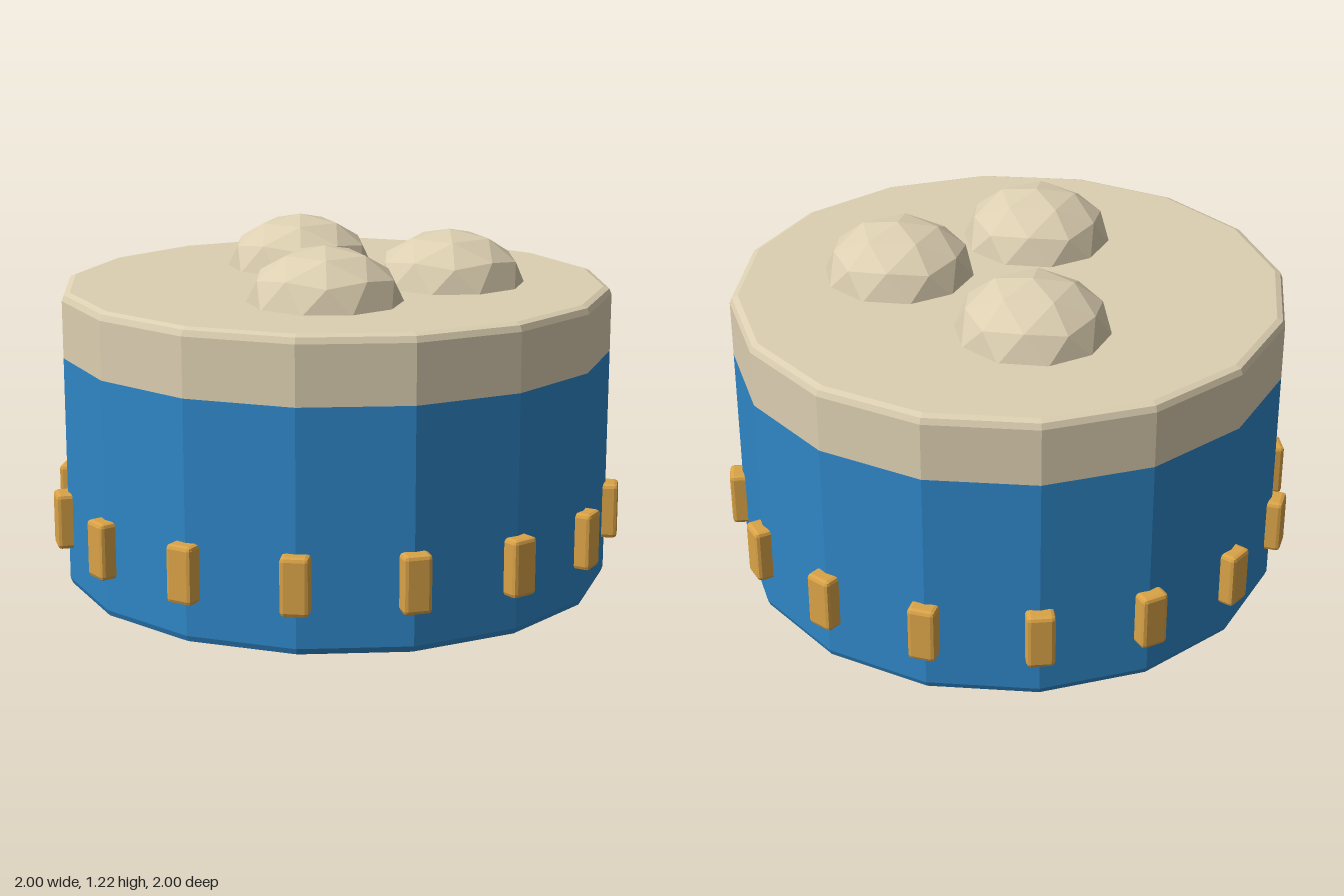
import * as THREE from 'three';
import { RoundedBoxGeometry } from 'three/addons/geometries/RoundedBoxGeometry.js';

const material = (name, color) => {
  const m = new THREE.MeshStandardMaterial({ color });
  m.name = name;
  return m;
};

// Facet a geometry so every face has its own normal
const faceted = (geometry) => {
  const g = geometry.index ? geometry.toNonIndexed() : geometry;
  g.computeVertexNormals();
  return g;
};

export function createModel() {
  const blue = material('blue', 0x2f86c6);
  const cream = material('cream', 0xdccfb1);
  const gold = material('gold', 0xdaa347);

  const SIDES = 16, R = 0.955, TOP = 1.035, SPLIT = 0.81;
  const group = new THREE.Group();
  group.name = 'studdedDrum';

  const add = (name, geometry, mat, x = 0, y = 0, z = 0) => {
    const mesh = new THREE.Mesh(geometry, mat);
    mesh.name = name;
    mesh.position.set(x, y, z);
    group.add(mesh);
    return mesh;
  };
  const turned = (profile) =>
    faceted(new THREE.LatheGeometry(profile.map(([r, y]) => new THREE.Vector2(r, y)), SIDES));

  // Sixteen-sided body with softened rims, in two colours
  add('drumBody', turned([[0, 0], [R - 0.028, 0], [R - 0.008, 0.008], [R, 0.028], [R, SPLIT]]), blue);
  add('drumCap', turned([[R, SPLIT], [R, TOP - 0.028], [R - 0.008, TOP - 0.008], [R - 0.028, TOP], [0, TOP]]), cream);

  // Ring of studs, one on each corner of the body
  const studGeometry = faceted(new RoundedBoxGeometry(0.095, 0.195, 0.1, 1, 0.014));
  for (let i = 0; i < SIDES; i++) {
    const a = (i / SIDES) * Math.PI * 2;
    const stud = add('stud', studGeometry, gold, Math.sin(a) * 0.95, 0.243, Math.cos(a) * 0.95);
    stud.rotation.y = a;
  }

  // Flattened faceted mounds sunk into the top, with a corner pointing up
  const mound = new THREE.IcosahedronGeometry(1, 1);
  mound.rotateX(-Math.atan((1 + Math.sqrt(5)) / 2));
  mound.rotateY(-Math.PI / 2);
  mound.scale(0.263, 0.19, 0.263);
  const moundGeometry = faceted(mound);
  for (const [x, z] of [[-0.335, -0.095], [0.265, -0.292], [0.287, 0.264]]) {
    add('mound', moundGeometry, cream, x, 1.03, z);
  }

  return group;
}
